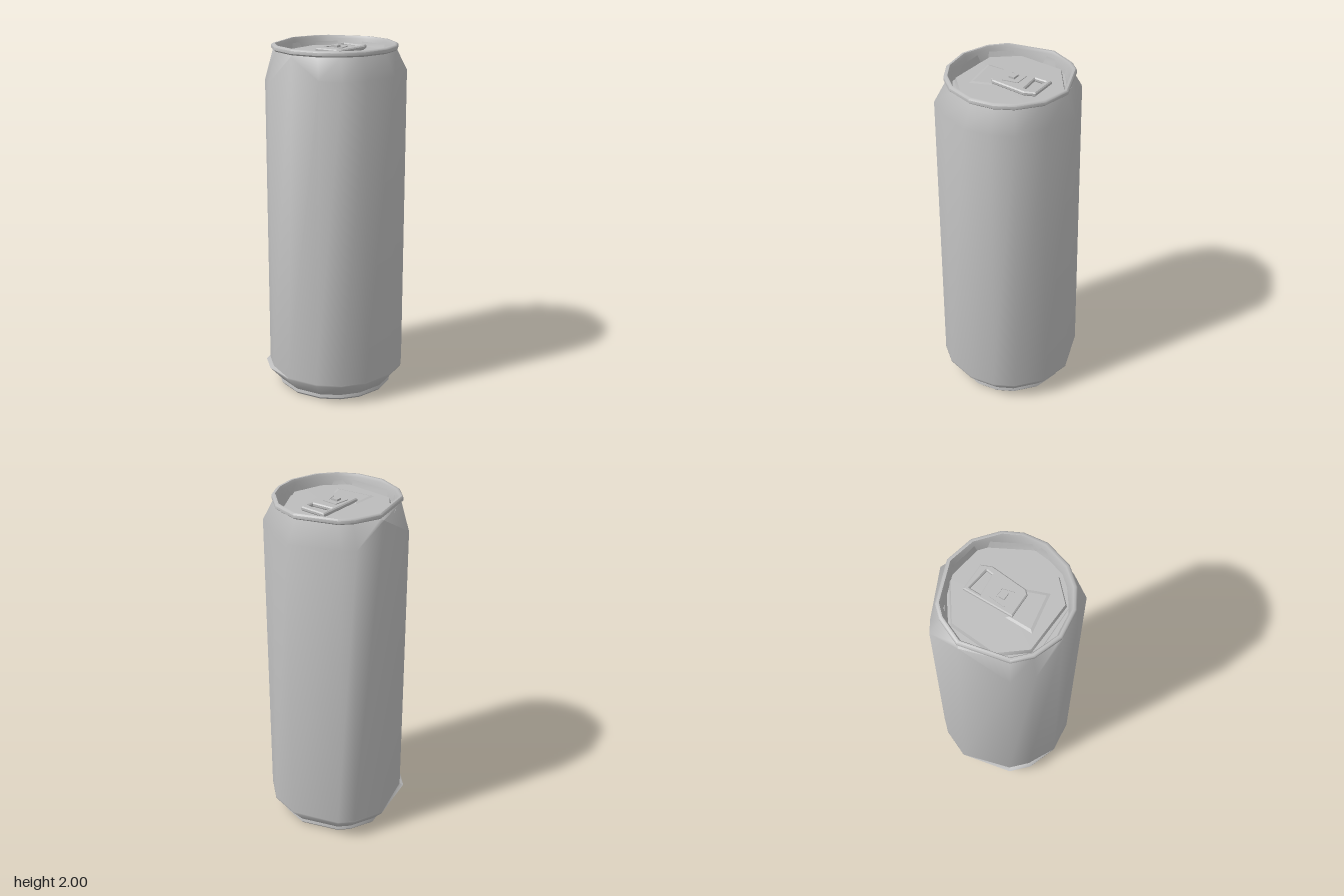
import * as THREE from 'three';
import { toCreasedNormals } from 'three/addons/utils/BufferGeometryUtils.js';

// Uneven facet corners [x, z], counter-clockwise seen from above
const FOOT = [
  [-0.4, -0.07], [-0.33, 0.24], [-0.23, 0.335], [-0.05, 0.4], [0.135, 0.38], [0.26, 0.31], [0.35, 0.2],
  [0.4, 0.02], [0.38, -0.13], [0.32, -0.24], [0.18, -0.36], [0, -0.4], [-0.265, -0.31], [-0.33, -0.24],
];
// The wall starts slightly inside the foot on the front right-hand facets
const LOWER = FOOT.map(([x, z], i) => (i === 1 || i === 2 ? [x * 0.945, z * 0.945] : [x, z]));
// The shoulder has fewer real corners: [x, z, own height]
const UPPER = [
  [-0.352, -0.05, 1.962], [-0.312, 0.227, 1.8], [-0.218, 0.318, 1.8], [-0.04, 0.35, 1.962], [0.13, 0.34], [0.26, 0.31],
  [0.335, 0.19], [0.4, 0.02], [0.368, -0.125], [0.32, -0.24], [0.165, -0.33], [0, -0.4],
  [-0.265, -0.28], [-0.33, -0.24],
];
// Eight-sided lid: groove and centre panel
const GROOVE = [
  [-0.295, -0.16], [-0.32, 0.09], [-0.16, 0.29], [0.14, 0.29], [0.3, 0.17], [0.32, -0.03], [0.18, -0.28], [-0.08, -0.32],
];
const PANEL = [
  [-0.255, -0.15], [-0.27, 0.11], [-0.16, 0.245], [0.13, 0.26], [0.24, 0.15], [0.288, -0.02], [0.16, -0.245], [-0.07, -0.285],
];

// Ring through given corners at height y
const outline = (points, y, s = 1) => points.map(([x, z, own]) => new THREE.Vector3(x * s, own ?? y, z * s));

// Round ring of radius r using the foot's facet directions
const ring = (r, y) => FOOT.map(([x, z]) => {
  const l = Math.hypot(x, z);
  return new THREE.Vector3((x / l) * r, y, (z / l) * r);
});

// Joins neighbouring rings with triangles, skipping collapsed ones
function loft(rings, crease = 0.8) {
  const pos = [];
  const tri = (a, b, c) => {
    if (a.distanceTo(b) < 1e-6 || b.distanceTo(c) < 1e-6 || a.distanceTo(c) < 1e-6) return;
    for (const v of [a, b, c]) pos.push(v.x, v.y, v.z);
  };
  for (let k = 0; k < rings.length - 1; k++) {
    const lo = rings[k], hi = rings[k + 1], n = lo.length;
    for (let i = 0; i < n; i++) {
      const j = (i + 1) % n;
      tri(lo[i], lo[j], hi[j]);
      tri(lo[i], hi[j], hi[i]);
    }
  }
  const geo = new THREE.BufferGeometry();
  geo.setAttribute('position', new THREE.Float32BufferAttribute(pos, 3));
  return toCreasedNormals(geo, crease);
}

// Flat plate from [x, z] corners, lying at height y
function plate(points, y, depth, bevel, holes = []) {
  const toVec = ([x, z]) => new THREE.Vector2(x, -z);
  const shape = new THREE.Shape(points.map(toVec));
  for (const h of holes) shape.holes.push(new THREE.Path(h.map(toVec)));
  const geo = new THREE.ExtrudeGeometry(shape, {
    depth, bevelEnabled: bevel > 0, bevelSize: bevel, bevelThickness: Math.min(bevel, 0.007),
    bevelOffset: -bevel, bevelSegments: 1,
  });
  geo.rotateX(-Math.PI / 2);
  geo.translate(0, y, 0);
  return geo;
}

export function createModel() {
  const group = new THREE.Group();
  group.name = 'drinkCan';
  const metal = new THREE.MeshStandardMaterial({ color: 0xbcbcbc });
  metal.name = 'grey metal';
  const add = (name, geo) => {
    const mesh = new THREE.Mesh(geo, metal);
    mesh.name = name;
    group.add(mesh);
  };

  // Domed underside and standing ring
  add('base', loft([
    ring(0, 0.11), ring(0.17, 0.085), ring(0.28, 0.03), ring(0.305, 0),
    ring(0.322, 0), ring(0.332, 0.012), ring(0.328, 0.03),
  ]));

  // Chamfered foot with a narrow ledge under the wall
  add('foot', loft([ring(0.328, 0.03), outline(FOOT, 0.115), outline(LOWER, 0.125)], 1.2));

  // Wall and shoulder
  add('body', loft([outline(LOWER, 0.125), outline(UPPER, 1.85), ring(0.34, 1.968)], 1.2));

  // Rolled rim, closed by a flange beneath the lid
  add('rim', loft([
    ring(0.34, 1.968), ring(0.35, 1.976), ring(0.35, 1.992), ring(0.342, 2),
    ring(0.33, 2), ring(0.322, 1.985), ring(0.312, 1.924), ring(0.24, 1.922),
  ]));

  // Lid with sunken groove around the centre panel
  add('lid', loft([
    outline(GROOVE, 1.97), outline(GROOVE, 1.926, 0.96), outline(PANEL, 1.926, 1.03),
    outline(PANEL, 1.95), outline(PANEL, 1.952, 0),
  ], 0.8));

  // Opening panel in front of the tab
  add('openingPanel', plate([[-0.1, 0.04], [-0.095, 0.215], [0.15, 0.175], [0.1, 0.04]], 1.945, 0.003, 0.025));

  // Pull tab with finger hole
  add('pullTab', plate(
    [[-0.08, -0.203], [-0.073, 0.08], [0.065, 0.08], [0.085, 0.06], [0.1, -0.145], [0.075, -0.203]],
    1.957, 0.012, 0.006,
    [[[-0.058, -0.178], [0.066, -0.16], [0.062, -0.125], [-0.058, -0.114]]],
  ));

  // Raised hinge around the rivet
  add('tabHinge', plate(
    [[-0.055, 0.022], [-0.043, 0.022], [-0.028, -0.04], [0.022, -0.04], [0.04, 0.022], [0.058, 0.015],
      [0.04, -0.07], [-0.047, -0.07]],
    1.974, 0.005, 0,
  ));

  // Rivet
  const rivet = new THREE.BoxGeometry(0.04, 0.012, 0.034);
  rivet.translate(-0.004, 1.98, -0.015);
  add('rivet', rivet);

  return group;
}
